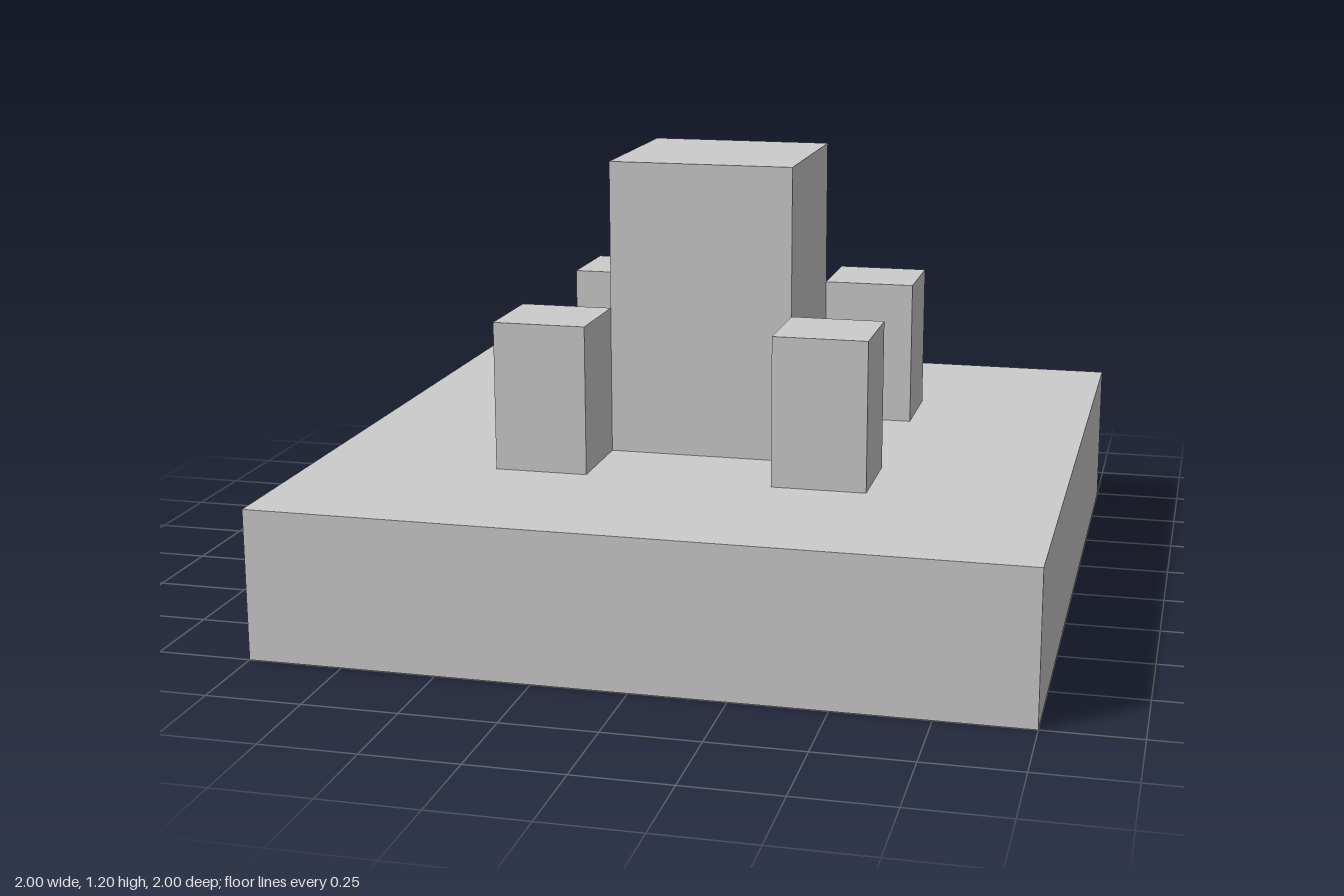
import * as THREE from 'three';

const material = new THREE.MeshStandardMaterial({ color: 0xcccccc, flatShading: true });

// Box standing on height y, centred on (x, z)
function block(name, width, height, depth, x, y, z) {
  const mesh = new THREE.Mesh(new THREE.BoxGeometry(width, height, depth), material);
  mesh.name = name;
  mesh.position.set(x, y + height / 2, z);
  return mesh;
}

export function createModel() {
  const model = new THREE.Group();
  model.name = 'towerOnBase';

  // Wide square slab and the central tower on it
  const baseHeight = 0.4;
  model.add(block('base', 2, baseHeight, 2, 0, 0, 0));
  model.add(block('centralTower', 0.5, 0.8, 0.5, 0, baseHeight, 0));

  // Four short pillars, diagonal to the tower corners
  const offset = 0.375;
  for (const [zName, sz] of [['front', 1], ['back', -1]]) {
    for (const [xName, sx] of [['Left', 1], ['Right', -1]]) {
      model.add(block(`${zName}${xName}Pillar`, 0.25, 0.4, 0.25, sx * offset, baseHeight, sz * offset));
    }
  }
  return model;
}
